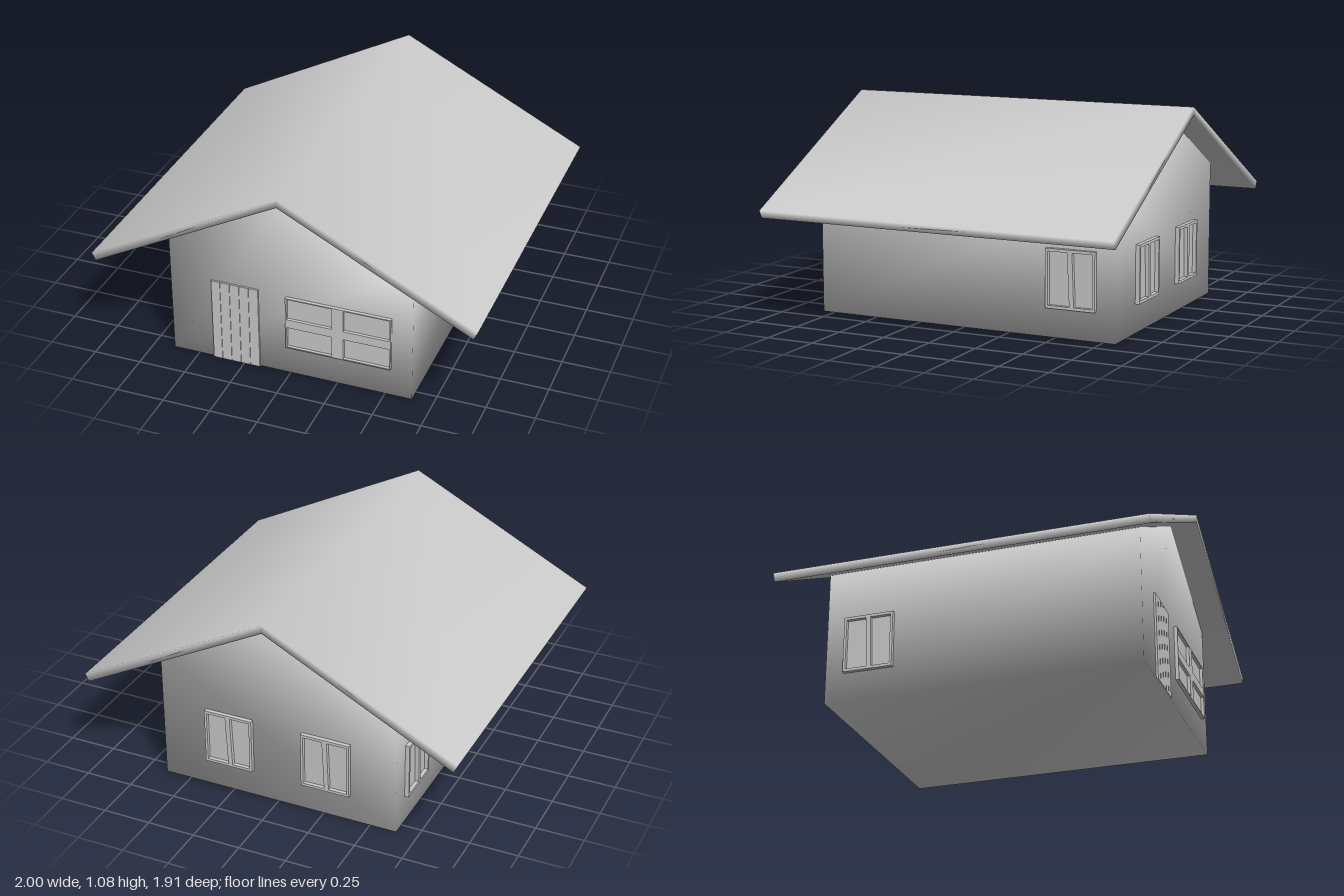
import * as THREE from 'three';
import { mergeVertices } from 'three/addons/utils/BufferGeometryUtils.js';

const material = new THREE.MeshStandardMaterial({ color: 0xcccccc });

function part(name, geometry) {
  const mesh = new THREE.Mesh(geometry, material);
  mesh.name = name;
  return mesh;
}

// Welds shared corners so shading blends across the edges
function soften(geometry) {
  geometry.deleteAttribute('normal');
  geometry.deleteAttribute('uv');
  const welded = mergeVertices(geometry, 1e-4);
  welded.computeVertexNormals();
  return welded;
}

// Extrudes an outline in the xy plane, centred on z
function prism(points, depth) {
  const shape = new THREE.Shape(points.map(([x, y]) => new THREE.Vector2(x, y)));
  const geometry = new THREE.ExtrudeGeometry(shape, { depth, bevelEnabled: false });
  return soften(geometry.translate(0, 0, -depth / 2));
}

// Window standing on the plane z = 0: frame with openings [x0, x1, y0, y1, lean] and a pane
function makeWindow(name, width, height, depth, openings) {
  const group = new THREE.Group();
  group.name = name;
  const w = width / 2, h = height / 2;
  const outline = new THREE.Shape();
  outline.moveTo(-w, -h).lineTo(w, -h).lineTo(w, h).lineTo(-w, h).closePath();
  for (const [x0, x1, y0, y1, lean0 = 0, lean1 = 0] of openings) {
    const hole = new THREE.Path();
    hole.moveTo(x0, y0).lineTo(x0 + lean0, y1).lineTo(x1 + lean1, y1).lineTo(x1, y0).closePath();
    outline.holes.push(hole);
  }
  group.add(part('windowFrame', new THREE.ExtrudeGeometry(outline, { depth, bevelEnabled: false })));
  const pane = part('windowPane', new THREE.PlaneGeometry(width - 0.004, height - 0.004));
  pane.position.z = 0.002;
  group.add(pane);
  return group;
}

// Two tall lights with a slightly leaning mullion
function makeCasement(name) {
  return makeWindow(name, 0.26, 0.295, 0.022, [
    [-0.117, -0.003, -0.133, 0.133, 0, -0.012],
    [0.021, 0.117, -0.133, 0.133, -0.01, 0],
  ]);
}

export function createModel() {
  const house = new THREE.Group();
  house.name = 'house';

  // Body with gable ends
  house.add(part('walls', prism([
    [-0.64, 0], [0.64, 0], [0.64, 0.71], [0, 1.04], [-0.64, 0.71],
  ], 1.63)));

  // Folded roof slab overhanging on all sides
  house.add(part('roof', prism([
    [0, 1.08], [-1, 0.57], [-0.98, 0.53], [0, 1.037], [0.98, 0.53], [1, 0.57],
  ], 1.91)));

  // Plank door
  const door = new THREE.Group();
  door.name = 'door';
  const plank = 0.051;
  for (let i = 0; i < 5; i++) {
    const board = part('doorPlank', new THREE.BoxGeometry(plank - 0.004, 0.458, 0.02));
    board.position.set(-0.418 + plank * (i + 0.5), 0.229, 0.815);
    door.add(board);
  }
  const backing = part('doorBacking', new THREE.BoxGeometry(plank * 5 - 0.004, 0.456, 0.012));
  backing.position.set(-0.418 + plank * 2.5, 0.228, 0.815);
  door.add(backing);
  house.add(door);

  // Wide front window with a cross
  const lights = [];
  for (const [x0, x1] of [[-0.268, -0.03], [0.03, 0.268]]) {
    for (const [y0, y1] of [[-0.14, -0.025], [0.022, 0.14]]) lights.push([x0, x1, y0, y1]);
  }
  const frontWindow = makeWindow('frontWindow', 0.55, 0.292, 0.018, lights);
  frontWindow.position.set(0.257, 0.305, 0.815);
  house.add(frontWindow);

  // One side window and one back window for each half
  for (const side of [-1, 1]) {
    const sideWindow = makeCasement('sideWindow');
    sideWindow.position.set(side * 0.64, 0.295, -0.585);
    sideWindow.rotation.y = side * Math.PI / 2;
    house.add(sideWindow);

    const backWindow = makeCasement('backWindow');
    backWindow.position.set(side * 0.265, 0.295, -0.815);
    backWindow.rotation.y = Math.PI;
    house.add(backWindow);
  }
  return house;
}
